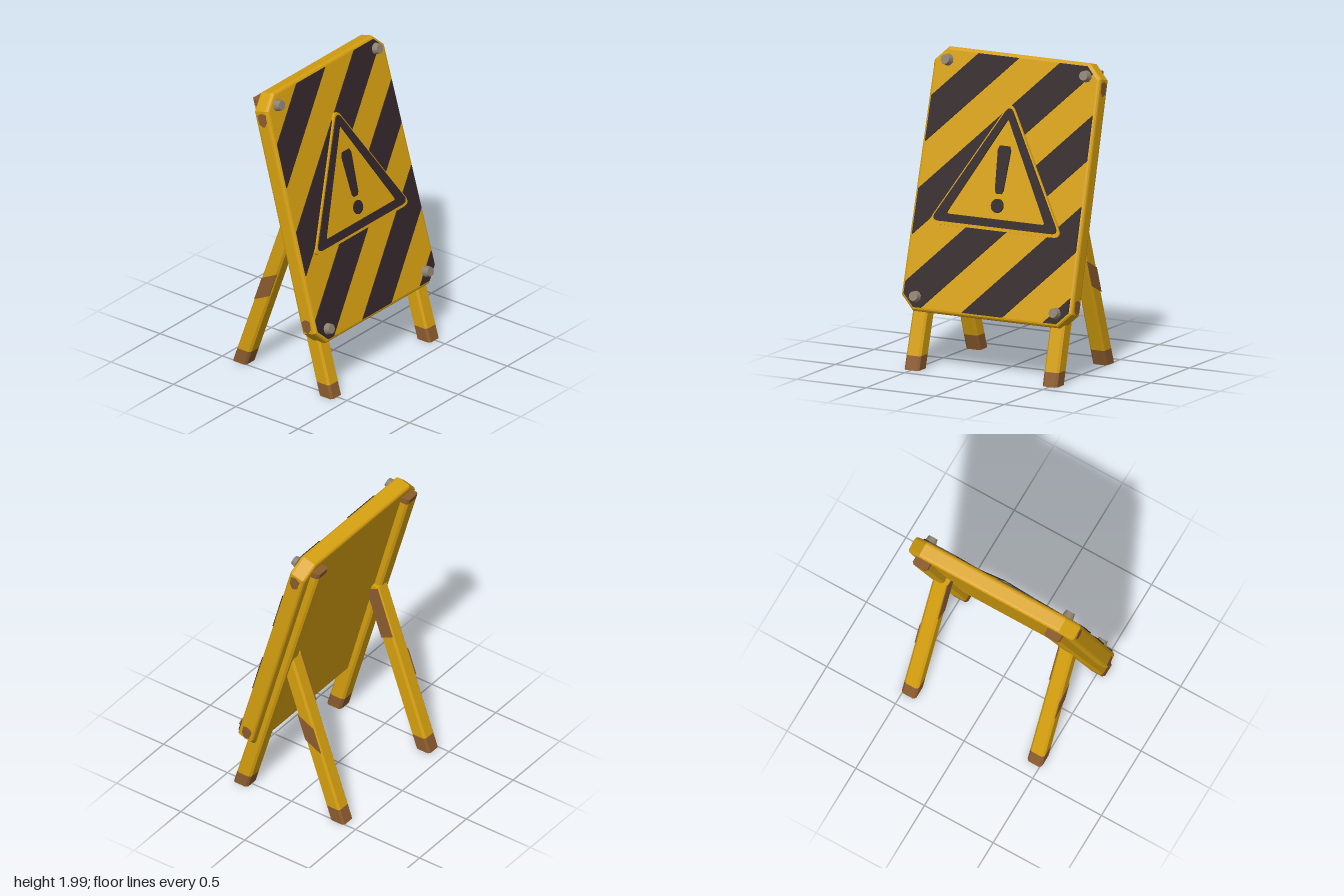
import * as THREE from 'three';

const mat = (name, color) => {
  const m = new THREE.MeshStandardMaterial({ color });
  m.name = name;
  return m;
};

// Keep the part of a polygon where a*x + b*y <= c
function clip(poly, a, b, c) {
  const out = [];
  poly.forEach((p, i) => {
    const q = poly[(i + 1) % poly.length];
    const dp = a * p.x + b * p.y - c, dq = a * q.x + b * q.y - c;
    if (dp <= 0) out.push(p);
    if (dp * dq < 0) out.push(p.clone().lerp(q, dp / (dp - dq)));
  });
  return out;
}

const points = (list) => list.map(([x, y]) => new THREE.Vector2(x, y));

// Triangle with softened corners; d is how far along each side the rounding starts
function roundedTriangle(half, bottom, top, d, PathType = THREE.Shape) {
  const c = points([[-half, bottom], [half, bottom], [0, top]]);
  const path = new PathType();
  c.forEach((p, i) => {
    const toward = (q) => p.clone().add(q.clone().sub(p).setLength(d));
    const a = toward(c[(i + 2) % 3]), b = toward(c[(i + 1) % 3]);
    if (i === 0) path.moveTo(a.x, a.y);
    else path.lineTo(a.x, a.y);
    path.quadraticCurveTo(p.x, p.y, b.x, b.y);
  });
  path.closePath();
  return path;
}

export function createModel() {
  const yellow = mat('yellow paint', 0xd6a010);
  const dark = mat('dark paint', 0x33272a);
  const rust = mat('rust', 0x8c5c2e);
  const metal = mat('bolt metal', 0x8f8272);

  const root = new THREE.Group();
  root.name = 'warningSign';
  const add = (parent, name, geometry, material, x = 0, y = 0, z = 0) => {
    const mesh = new THREE.Mesh(geometry, material);
    mesh.name = name;
    mesh.position.set(x, y, z);
    parent.add(mesh);
    return mesh;
  };

  // Leaning panel
  const lean = 0.27, face = 0.0575;
  const panel = new THREE.Group();
  panel.name = 'panel';
  panel.position.set(0, 1.171, 0.085);
  panel.rotation.x = -lean;
  root.add(panel);
  const Y = (h) => (h - 1.186) / Math.cos(lean); // height above ground to panel height

  const outline = points([
    [-0.515, -0.82], [0.515, -0.82], [0.595, -0.74], [0.58, 0.74],
    [0.5, 0.82], [-0.5, 0.82], [-0.58, 0.74], [-0.595, -0.74],
  ]);
  const boardGeo = new THREE.ExtrudeGeometry(new THREE.Shape(outline), {
    depth: 0.071, bevelSize: 0.022, bevelThickness: 0.022, bevelSegments: 3,
  });
  add(panel, 'board', boardGeo, yellow, 0, 0, -0.0355);

  const plate = (name, shape, material, z, depth) =>
    add(panel, name, new THREE.ExtrudeGeometry(shape, { depth, bevelEnabled: false, curveSegments: 8 }), material, 0, 0, z);

  // Diagonal hazard stripes, cut to the board outline
  for (let k = 0; k < 5; k++) {
    const low = 1.97 - 0.565 * k, high = low + 0.28;
    let poly = clip(outline, -1, 1, Y(high));
    poly = clip(poly, 1, -1, -Y(low));
    if (poly.length > 2) plate('stripe', new THREE.Shape(poly), dark, face, 0.007);
  }

  // Raised warning triangle with dark border
  plate('trianglePlate', roundedTriangle(0.487, Y(0.915), Y(1.712), 0.07), yellow, face, 0.02);
  const border = roundedTriangle(0.462, Y(0.935), Y(1.69), 0.06);
  border.holes.push(roundedTriangle(0.357, Y(0.985), Y(1.6), 0.02, THREE.Path));
  plate('triangleBorder', border, dark, face + 0.02, 0.008);

  // Exclamation mark
  const bar = new THREE.Shape(points([
    [-0.018, Y(1.14)], [0.018, Y(1.14)], [0.03, Y(1.16)], [0.047, Y(1.41)],
    [0.035, Y(1.435)], [-0.035, Y(1.435)], [-0.047, Y(1.41)], [-0.03, Y(1.16)],
  ]));
  plate('markBar', bar, dark, face + 0.02, 0.008);
  plate('markDot', new THREE.Shape().absarc(0, Y(1.067), 0.045, 0, Math.PI * 2), dark, face + 0.02, 0.008);

  // Corner bolts
  const boltGeo = new THREE.CylinderGeometry(0.031, 0.04, 0.045, 10).rotateX(Math.PI / 2);
  for (const s of [-1, 1]) {
    add(panel, 'bolt', boltGeo, metal, s * 0.5, Y(1.915), face + 0.02);
    add(panel, 'bolt', boltGeo, metal, s * 0.505, Y(0.46), face + 0.02);
  }

  // Rust chips on the panel's side edges
  for (const s of [-1, 1]) {
    const chip = new THREE.Shape(points([
      [-0.03, -0.02], [0.0, -0.05], [0.03, -0.03], [0.034, 0.03], [0.0, 0.045], [-0.034, 0.035],
    ]));
    const geo = new THREE.ExtrudeGeometry(chip, { depth: 0.006, bevelEnabled: false })
      .translate(0, 0, -0.003).rotateY(Math.PI / 2);
    add(panel, 'rustChip', geo, rust, s * 0.6025, 0.69, 0.003);
    add(panel, 'rustChip', geo, rust, s * 0.6165, -0.7, -0.005);
  }

  // Slanted bar between two heights: chamfered section sheared along x and z
  function legPiece(leg, y0, y1, { x = 0, w = leg.w, d = leg.d, c = 0.014, tilt = 0 } = {}) {
    const section = new THREE.Shape(points([
      [-w + c, -d], [w - c, -d], [w, -d + c], [w, d - c],
      [w - c, d], [-w + c, d], [-w, d - c], [-w, -d + c],
    ]));
    const geo = new THREE.ExtrudeGeometry(section, { depth: y1 - y0, bevelEnabled: false })
      .rotateX(-Math.PI / 2).translate(0, y0, 0);
    const p = geo.attributes.position;
    for (let i = 0; i < p.count; i++) {
      const z = p.getZ(i), y = p.getY(i) + tilt * z;
      p.setXYZ(i, p.getX(i) + x + leg.x + leg.slopeX * y, y, z + leg.z + leg.slopeZ * y);
    }
    geo.computeVertexNormals();
    return geo;
  }

  for (const s of [-1, 1]) {
    // Front leg, running up the back of the panel
    const front = { x: s * 0.499, slopeX: -s * 0.01, z: 0.365, slopeZ: -0.286, w: 0.053, d: 0.055 };
    add(root, 'frontLegFoot', legPiece(front, 0, 0.09), rust);
    add(root, 'frontLeg', legPiece(front, 0.09, 1.88), yellow);
    add(root, 'frontLegTop', legPiece(front, 1.88, 1.92), rust);

    // Rear prop leg
    const rear = { x: s * 0.458, slopeX: 0, z: -0.36, slopeZ: 0.354, w: 0.052, d: 0.055 };
    add(root, 'rearLegFoot', legPiece(rear, 0, 0.1), rust);
    add(root, 'rearLeg', legPiece(rear, 0.1, 1.135), yellow);

    // Worn patches on the prop leg: outer middle and inner top
    const patch = { w: 0.003, d: 0.05, c: 0.001 };
    add(root, 'outerRustPatch', legPiece(rear, 0.52, 0.69, { ...patch, x: s * 0.052, tilt: 0.6 }), rust);
    add(root, 'innerRustPatch', legPiece(rear, 0.78, 1.11, { ...patch, x: -s * 0.052, tilt: -0.4 }), rust);
  }

  return root;
}
